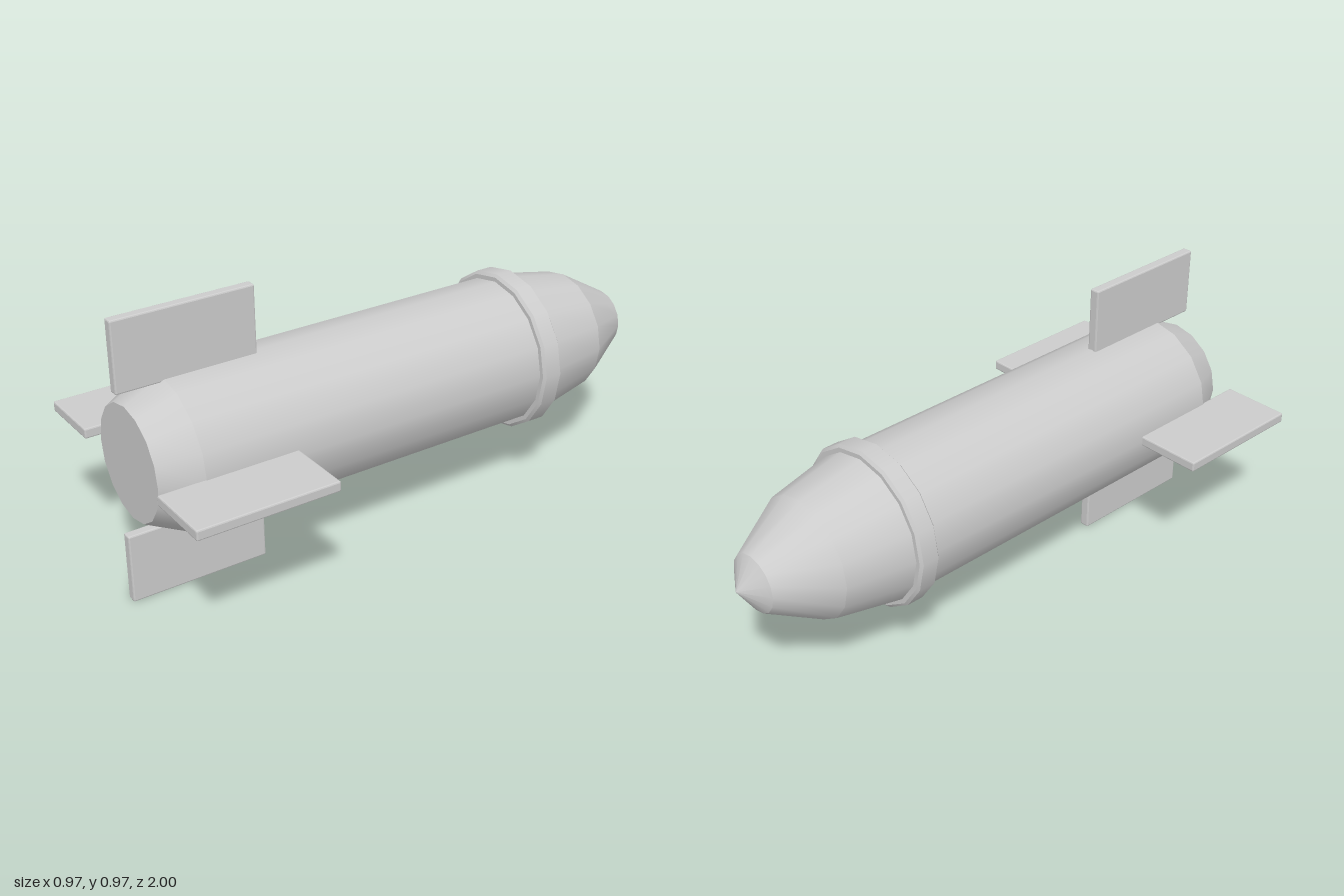
import * as THREE from 'three';
import { RoundedBoxGeometry } from 'three/addons/geometries/RoundedBoxGeometry.js';

const SIDES = 16;
const AXIS_Y = 0.484;

export function createModel() {
  const model = new THREE.Group();
  const grey = new THREE.MeshStandardMaterial({ color: 0xcccccc });
  grey.name = 'grey metal';

  // One band of the hull, running along z from z0 (radius r0) to z1 (radius r1), z0 > z1
  function band(name, z0, r0, z1, r1) {
    const geometry = new THREE.CylinderGeometry(r0, r1, z0 - z1, SIDES, 1, true);
    geometry.rotateX(Math.PI / 2);
    const mesh = new THREE.Mesh(geometry, grey);
    mesh.name = name;
    mesh.position.z = (z0 + z1) / 2;
    return mesh;
  }

  // A group of bands following a [z, radius] profile
  function turned(name, profile) {
    const group = new THREE.Group();
    group.name = name;
    group.position.y = AXIS_Y;
    for (let i = 0; i < profile.length - 1; i++) {
      group.add(band(`${name}Band${i + 1}`, ...profile[i], ...profile[i + 1]));
    }
    model.add(group);
    return group;
  }

  // Hull with tapered tail and flat tail plate
  const hull = turned('hull', [[0.97, 0.193], [0.84, 0.257], [-0.51, 0.257]]);
  const plate = new THREE.Mesh(new THREE.CircleGeometry(0.193, SIDES), grey);
  plate.name = 'tailPlate';
  plate.position.z = 0.97;
  hull.add(plate);

  // Pointed nose
  turned('nose', [[-0.51, 0.257], [-0.745, 0.211], [-0.936, 0.1], [-1, 0]]);

  // Bevelled collar at the base of the nose
  const collar = turned('collar', [[-0.435, 0.272], [-0.443, 0.282], [-0.503, 0.282], [-0.511, 0.272]]);
  for (const [z, turn] of [[-0.435, 0], [-0.511, Math.PI]]) {
    const rim = new THREE.Mesh(new THREE.RingGeometry(0.25, 0.272, SIDES), grey);
    rim.name = 'collarRim';
    rim.position.z = z;
    rim.rotation.y = turn;
    collar.add(rim);
  }

  // Four bevelled fins around the tail
  const finGeometry = new RoundedBoxGeometry(0.239, 0.035, 0.482, 1, 0.005);
  finGeometry.computeVertexNormals();
  ['leftFin', 'topFin', 'rightFin', 'bottomFin'].forEach((name, i) => {
    const pivot = new THREE.Group();
    pivot.name = name;
    pivot.position.set(0, AXIS_Y, 0.759);
    pivot.rotation.z = (i * Math.PI) / 2;
    const fin = new THREE.Mesh(finGeometry, grey);
    fin.name = `${name}Blade`;
    fin.position.x = 0.3645;
    pivot.add(fin);
    model.add(pivot);
  });

  return model;
}
